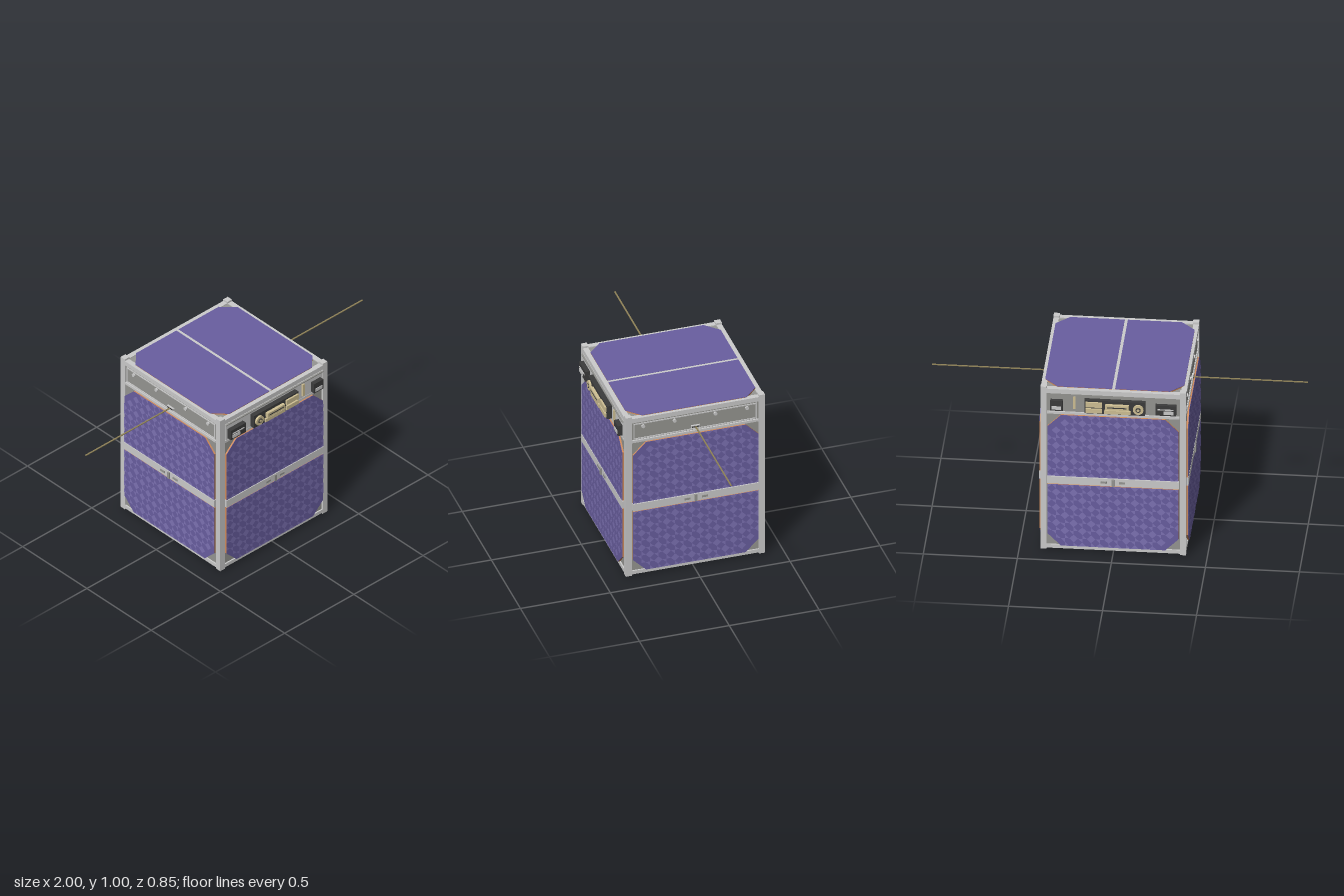
import * as THREE from 'three';

const mat = (color, side = THREE.FrontSide) => new THREE.MeshStandardMaterial({ color, side });
const GREY = mat(0xcccccc), DARKGREY = mat(0x969692), BLACK = mat(0x3c3c3c);
const PURPLE = mat(0x695ea0), LILAC = mat(0x7d72b4), COPPER = mat(0xd08c5c);
const TAN = mat(0xcfc094), BRASS = mat(0x8f8258);

const R = 0.387;   // half width to the outer face of the corner posts
const CZ = -0.01;  // centre of the frame in z

// Box given by its extents
function box(parent, name, material, x0, x1, y0, y1, z0, z1) {
  const m = new THREE.Mesh(new THREE.BoxGeometry(x1 - x0, y1 - y0, z1 - z0), material);
  m.position.set((x0 + x1) / 2, (y0 + y1) / 2, (z0 + z1) / 2);
  m.name = name;
  parent.add(m);
  return m;
}

// Short cylinder whose axis points out of the face
function disc(parent, name, material, x, y, z0, z1, r) {
  const m = new THREE.Mesh(new THREE.CylinderGeometry(r, r, z1 - z0, 24), material);
  m.rotation.x = Math.PI / 2;
  m.position.set(x, y, (z0 + z1) / 2);
  m.name = name;
  parent.add(m);
}

// Light triangles arranged as diamonds over a cell
function cellPattern(width, height, cut) {
  const cols = 30, rows = 16, dx = width / cols, dy = height / rows, pos = [];
  for (let i = 0; i < cols; i++) for (let j = 0; j < rows; j++) {
    const x = i * dx - width / 2, y = j * dy;
    const edge = Math.max(Math.abs(x), Math.abs(x + dx));
    if (edge - (width / 2 - cut) + (y + dy) - (height - cut) > cut || (i + j) % 4 === 3) continue;
    const c = [[x, y], [x + dx, y], [x + dx, y + dy], [x, y + dy]];
    const k = (i % 2) + (j % 2 ? 2 : 0);
    const start = [0, 1, 3, 2][k];
    for (let n = 0; n < 3; n++) pos.push(...c[(start + n + 3) % 4], 0);
  }
  const g = new THREE.BufferGeometry();
  g.setAttribute('position', new THREE.Float32BufferAttribute(pos, 3));
  g.computeVertexNormals();
  return g;
}

// Half of a solar panel: straight inner edge at y = 0, two clipped outer corners
function solarHalf(width, height, cut, patterned) {
  const g = new THREE.Group();
  g.name = 'solarPanel';
  const a = width / 2;
  const shape = new THREE.Shape([
    [-a, 0], [a, 0], [a, height - cut], [a - cut, height], [cut - a, height], [-a, height - cut],
  ].map(p => new THREE.Vector2(...p)));
  const layer = (name, material, depth, z) => {
    const m = new THREE.Mesh(new THREE.ExtrudeGeometry(shape, { depth, bevelEnabled: false }), material);
    m.position.z = z;
    m.name = name;
    g.add(m);
  };
  layer('panelBacking', COPPER, 0.009, 0);
  layer('solarCell', PURPLE, 0.002, 0.009);
  if (patterned) {
    const p = new THREE.Mesh(cellPattern(width, height, cut), LILAC);
    p.position.z = 0.0116;
    p.name = 'cellPattern';
    g.add(p);
  }
  return g;
}

// Hinge strip between two halves, centred on the origin, running along x
function strip(length, tabDepth) {
  const g = new THREE.Group();
  g.name = 'centreStrip';
  box(g, 'stripBar', GREY, -length / 2, length / 2, -0.022, 0.022, -0.01, 0.01);
  box(g, 'stripTab', DARKGREY, -0.007, 0.007, -0.02, 0.02, 0, tabDepth);
  for (const s of [-1, 1]) box(g, 'stripClip', DARKGREY, s * 0.049 - 0.016, s * 0.049 + 0.016, -0.006, 0.006, 0, 0.014);
  return g;
}

// Lower part shared by the four walls; z = 0 is the outer face of the posts
function wall(name) {
  const g = new THREE.Group();
  g.name = name;
  box(g, 'backPlate', DARKGREY, -0.355, 0.355, 0.02, 0.97, -0.025, -0.008);
  box(g, 'topRail', GREY, -0.355, 0.355, 0.965, 0.992, -0.03, 0);
  box(g, 'middleRail', GREY, -0.352, 0.352, 0.84, 0.854, -0.02, 0);
  box(g, 'bottomRail', GREY, -0.355, 0.355, 0.016, 0.037, -0.03, 0);
  const upper = solarHalf(0.698, 0.374, 0.072, true);
  upper.position.set(0, 0.465, -0.002);
  const lower = solarHalf(0.698, 0.374, 0.072, true);
  lower.rotation.z = Math.PI;
  lower.position.set(0, 0.412, -0.002);
  const s = strip(0.7, 0.018);
  s.position.y = 0.439;
  g.add(upper, lower, s);
  return g;
}

// Instrument bay; m mirrors it sideways, d shifts it outward
function instruments(g, m, d) {
  const part = (name, material, x0, x1, y0, y1, z0, z1) =>
    box(g, name, material, Math.min(m * x0, m * x1), Math.max(m * x0, m * x1), y0, y1, z0, z1 + d);
  part('bayPlate', GREY, -0.35, 0.35, 0.857, 0.963, -0.01, -0.002);
  part('bayLip', DARKGREY, -0.35, 0.35, 0.956, 0.962, -0.01, 0.006);
  part('largeSensor', BLACK, -0.335, -0.225, 0.866, 0.927, -0.01, 0.024);
  part('largeSensorCap', GREY, -0.322, -0.27, 0.874, 0.894, 0, 0.027);
  part('largeSensorBar', GREY, -0.322, -0.238, 0.9, 0.906, 0, 0.027);
  part('smallSensor', BLACK, 0.267, 0.334, 0.866, 0.927, -0.01, 0.024);
  part('smallSensorCap', GREY, 0.276, 0.326, 0.874, 0.894, 0, 0.027);
  part('connectorPlate', BLACK, -0.17, 0.152, 0.861, 0.941, -0.01, 0.026);
  part('upperConnector', TAN, -0.085, 0.04, 0.896, 0.924, 0, 0.043);
  part('upperConnectorSlot', BLACK, -0.075, 0.03, 0.907, 0.913, 0.02, 0.044);
  part('lowerConnector', TAN, -0.095, 0.045, 0.869, 0.889, 0, 0.038);
  part('lowerSocket', TAN, 0.058, 0.145, 0.869, 0.893, 0, 0.036);
  part('upperSocket', TAN, 0.058, 0.145, 0.903, 0.932, 0, 0.036);
  part('tanSlot', TAN, 0.2, 0.214, 0.872, 0.948, -0.01, 0.008);
  disc(g, 'roundPort', TAN, m * -0.135, 0.9, 0, 0.037 + d, 0.028);
  disc(g, 'roundPortRing', BLACK, m * -0.135, 0.9, 0, 0.0385 + d, 0.014);
  disc(g, 'roundPortPin', TAN, m * -0.135, 0.9, 0, 0.041 + d, 0.008);
}

// Antenna bay with screws, slot and a long thin tape
function antennaBay(g, side) {
  box(g, 'bayFrame', DARKGREY, -0.348, 0.348, 0.856, 0.963, -0.012, -0.006);
  for (const y of [0.862, 0.953]) box(g, 'bayEdge', GREY, -0.343, 0.343, y - 0.003, y + 0.003, -0.01, -0.002);
  for (const s of [-1, 1]) box(g, 'bayEdge', GREY, s * 0.34 - 0.003, s * 0.34 + 0.003, 0.862, 0.953, -0.01, -0.002);
  for (const x of [-0.29, -0.115, 0.112, 0.288]) disc(g, 'screw', GREY, x * side, 0.935, -0.008, 0.003, 0.01);
  box(g, 'antennaSlot', GREY, -0.024, 0.024, 0.872, 0.886, -0.01, 0.004);
  box(g, 'antennaSlotHole', BLACK, -0.02, 0.02, 0.876, 0.882, -0.01, 0.006);
  box(g, 'antenna', BRASS, -0.004, 0.004, 0.877, 0.881, -0.02, 1 - R);
}

// Top or bottom cover, drawn facing +z
function cover(name, turn, tabDepth) {
  const g = new THREE.Group();
  g.name = name;
  box(g, 'coverPlate', DARKGREY, -0.372, 0.372, -0.372, 0.372, -0.016, -0.004);
  const inner = new THREE.Group();
  inner.rotation.z = turn;
  for (const s of [0, 1]) {
    const half = solarHalf(0.724, 0.362, 0.072, false);
    half.position.set(0, s ? -0.008 : 0.008, -0.006);
    half.rotation.z = s * Math.PI;
    inner.add(half);
  }
  g.add(inner);
  if (tabDepth) {
    const s = strip(0.7, tabDepth);
    s.position.z = -0.003;
    s.rotation.z = turn;
    g.add(s);
  } else box(inner, 'coverStrip', GREY, -0.36, 0.36, -0.008, 0.008, -0.006, 0.004);
  return g;
}

export function createModel() {
  const model = new THREE.Group();
  model.name = 'cubeSatellite';
  const body = new THREE.Group();
  body.name = 'body';
  body.position.z = CZ;
  model.add(body);

  // Corner posts with projecting ends
  for (const sx of [-1, 1]) for (const sz of [-1, 1]) {
    const x = sx * (R - 0.0165), z = sz * (R - 0.0165);
    box(body, 'cornerPost', GREY, x - 0.0165, x + 0.0165, 0.008, 1.003, z - 0.0165, z + 0.0165);
  }

  // Four walls
  for (let i = 0; i < 4; i++) {
    const a = i * Math.PI / 2;
    const w = wall(['frontWall', 'leftWall', 'backWall', 'rightWall'][i]);
    w.rotation.y = a;
    w.position.set(Math.sin(a) * R, 0, Math.cos(a) * R);
    if (i % 2) antennaBay(w, i === 1 ? 1 : -1);
    else instruments(w, i ? -1 : 1, i ? -0.012 : 0.003);
    body.add(w);
  }

  // Top and bottom covers
  const top = cover('topCover', Math.PI / 2, 0);
  top.rotation.x = -Math.PI / 2;
  top.position.y = 0.991;
  const bottom = cover('bottomCover', 0, 0.015);
  bottom.rotation.x = Math.PI / 2;
  bottom.position.y = 0.013;
  body.add(top, bottom);
  return model;
}
